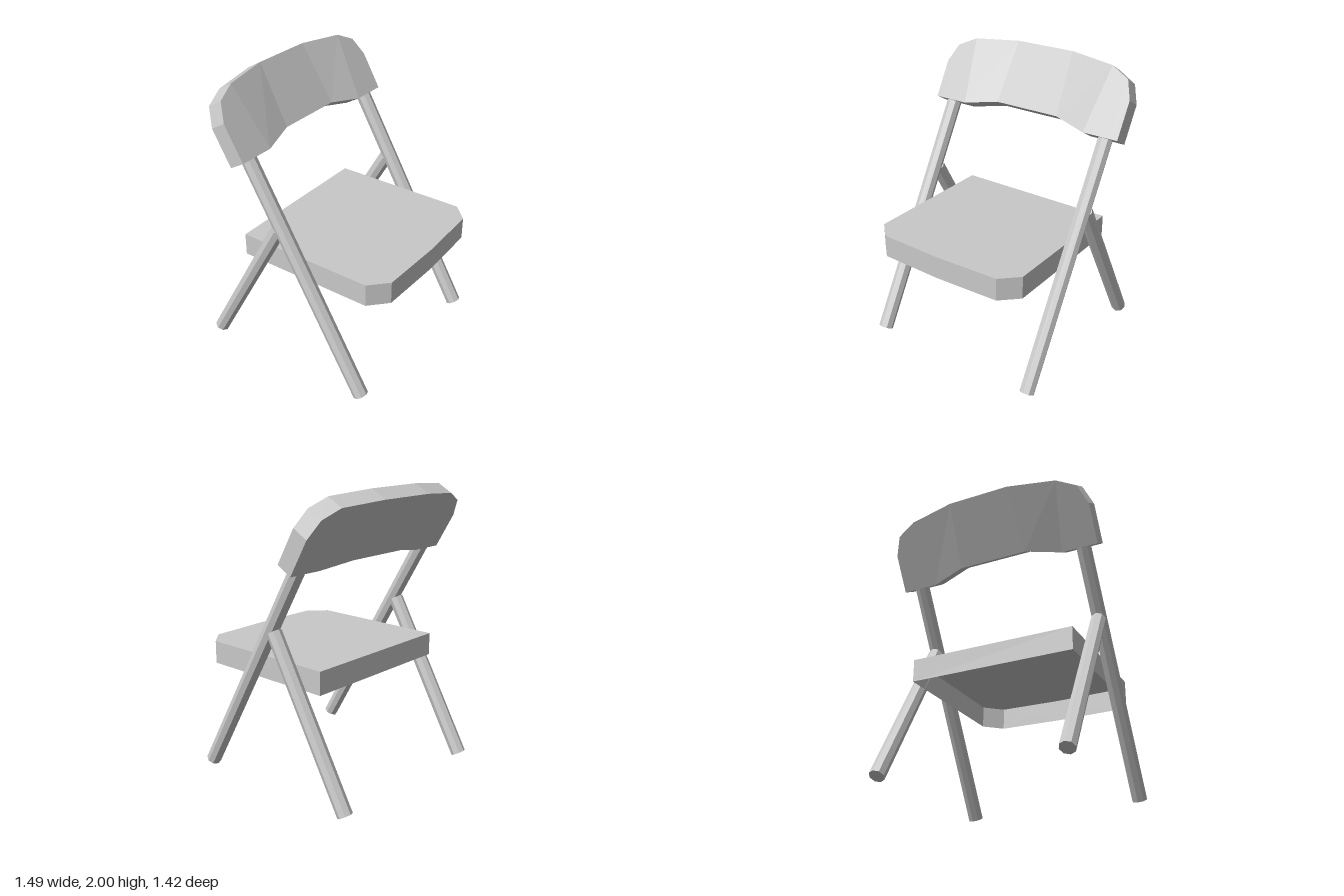
import * as THREE from 'three';

const paint = new THREE.MeshStandardMaterial({ color: 0xc8c8c8, flatShading: true, side: THREE.DoubleSide });
paint.name = 'light grey';

function addMesh(parent, geometry, name) {
  const mesh = new THREE.Mesh(geometry, paint);
  mesh.name = name;
  parent.add(mesh);
  return mesh;
}

// Flat faced geometry from a list of four-cornered faces
function quads(faces) {
  const pos = [];
  for (const [a, b, c, d] of faces) pos.push(...a, ...b, ...c, ...a, ...c, ...d);
  const g = new THREE.BufferGeometry();
  g.setAttribute('position', new THREE.Float32BufferAttribute(pos, 3));
  g.computeVertexNormals();
  return g;
}

// Eight-sided tube between two points
function addTube(parent, x, [y0, z0], [y1, z1], name) {
  const a = new THREE.Vector3(x, y0, z0), b = new THREE.Vector3(x, y1, z1);
  const dir = b.clone().sub(a);
  const tube = addMesh(parent, new THREE.CylinderGeometry(0.052, 0.052, dir.length(), 8), name);
  tube.position.copy(a).add(b).multiplyScalar(0.5);
  tube.rotation.x = Math.atan2(dir.z, dir.y);
}

// Seat pan: a top panel with a skirt, open underneath
function createSeat() {
  const seat = new THREE.Group();
  seat.name = 'seat';
  const top = 0.9, bottom = 0.742;
  const outline = [[-0.58, -0.41], [-0.58, 0.58], [-0.46, 0.695], [0, 0.71], [0.46, 0.695], [0.58, 0.58], [0.58, -0.41]];
  const shape = new THREE.Shape(outline.map(([x, z]) => new THREE.Vector2(x, -z)));
  const panel = addMesh(seat, new THREE.ShapeGeometry(shape), 'seatPanel');
  panel.rotation.x = -Math.PI / 2;
  panel.position.y = top;
  const walls = outline.map(([x, z], i) => {
    const [x2, z2] = outline[(i + 1) % outline.length];
    return [[x, bottom, z], [x2, bottom, z2], [x2, top, z2], [x, top, z]];
  });
  addMesh(seat, quads(walls), 'seatSkirt');
  return seat;
}

// Bent plate, lofted across x and leaned back by 30 degrees
function createBackrest() {
  const cos = Math.cos(Math.PI / 6), sin = 0.5, thickness = 0.121;
  // bottom x, bottom height, top x, top height, front depth, all along the lean
  const half = [
    [0.245, 1.535, 0.22, 1.987, 0.556],
    [0.49, 1.47, 0.555, 1.94, 0.59],
    [0.69, 1.47, 0.69, 1.87, 0.59],
    [0.745, 1.47, 0.745, 1.739, 0.59],
  ];
  const mirrored = half.map(([xb, ub, xt, ut, n]) => [-xb, ub, -xt, ut, n]).reverse();
  const lean = (x, u, n) => [x, u * cos + n * sin, n * cos - u * sin];
  const sections = [...mirrored, ...half].map(([xb, ub, xt, ut, n]) => [
    lean(xb, ub, n), lean(xt, ut, n), lean(xt, ut, n - thickness), lean(xb, ub, n - thickness),
  ]);
  const faces = [sections[0], [...sections[sections.length - 1]].reverse()];
  for (let i = 0; i < sections.length - 1; i++) {
    for (let k = 0; k < 4; k++) {
      const p = sections[i], q = sections[i + 1], m = (k + 1) % 4;
      faces.push([p[k], q[k], q[m], p[m]]);
    }
  }
  return quads(faces);
}

export function createModel() {
  const chair = new THREE.Group();
  chair.name = 'foldingChair';
  chair.add(createSeat());
  addMesh(chair, createBackrest(), 'backrest');
  // Crossed tube legs on both sides
  for (const [side, name] of [[1, 'left'], [-1, 'right']]) {
    addTube(chair, side * 0.63, [0.028, 0.59], [1.536, -0.281], name + 'FrontLeg');
    addTube(chair, side * 0.63, [0.028, -0.664], [1.1, -0.06], name + 'BackLeg');
  }
  return chair;
}
